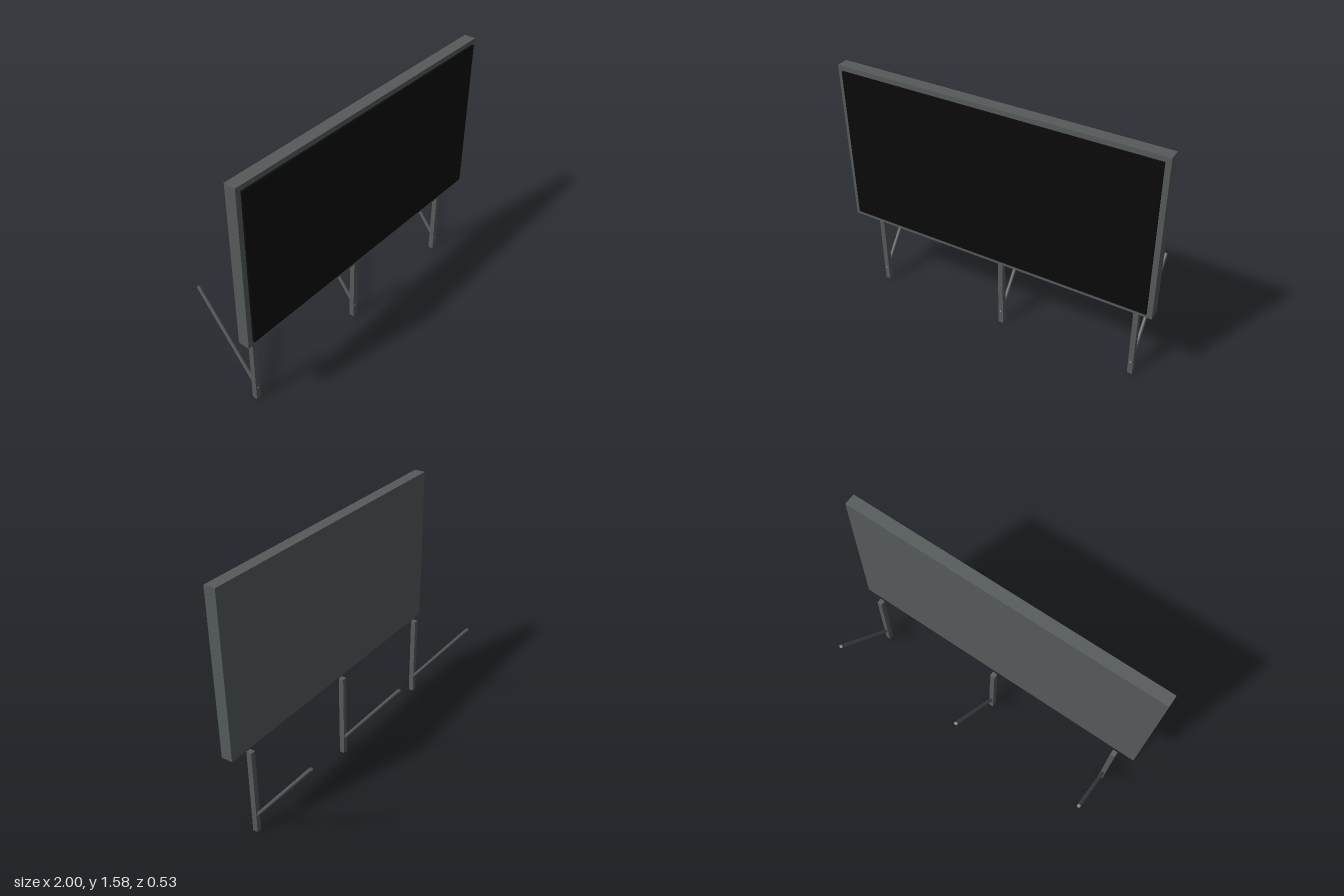
import * as THREE from 'three';

const frameGrey = new THREE.MeshStandardMaterial({ color: 0x555a5b });
frameGrey.name = 'frame grey';
const screenBlack = new THREE.MeshStandardMaterial({ color: 0x0a0a0a });
screenBlack.name = 'screen black';

// Box given by its minimum and maximum corners
function box(name, min, max, material) {
  const size = max.map((v, i) => v - min[i]);
  const mesh = new THREE.Mesh(new THREE.BoxGeometry(...size), material);
  mesh.position.set(...max.map((v, i) => (v + min[i]) / 2));
  mesh.name = name;
  return mesh;
}

// Round bar between two points
function bar(name, from, to, radius, material) {
  const dir = to.clone().sub(from);
  const mesh = new THREE.Mesh(new THREE.CylinderGeometry(radius, radius, dir.length(), 16), material);
  mesh.position.copy(from).add(to).multiplyScalar(0.5);
  mesh.quaternion.setFromUnitVectors(new THREE.Vector3(0, 1, 0), dir.normalize());
  mesh.name = name;
  return mesh;
}

export function createModel() {
  const model = new THREE.Group();
  model.name = 'displayBoard';

  // Cabinet with the screen panel standing slightly proud of its front
  model.add(box('cabinet', [-1, 0.553, 0.179], [1, 1.582, 0.251], frameGrey));
  model.add(box('screen', [-0.968, 0.583, 0.251], [0.968, 1.552, 0.264], screenBlack));

  // Three supports: an upright post and a sloping rear brace through it
  for (const x of [-0.88, 0, 0.88]) {
    const support = new THREE.Group();
    support.name = 'support';
    support.position.x = x;
    support.add(box('post', [-0.016, 0, 0.134], [0.016, 0.56, 0.167], frameGrey));
    support.add(bar('brace', new THREE.Vector3(0, 0.084, 0.165),
      new THREE.Vector3(0, 0.615, -0.255), 0.011, frameGrey));
    model.add(support);
  }
  return model;
}
